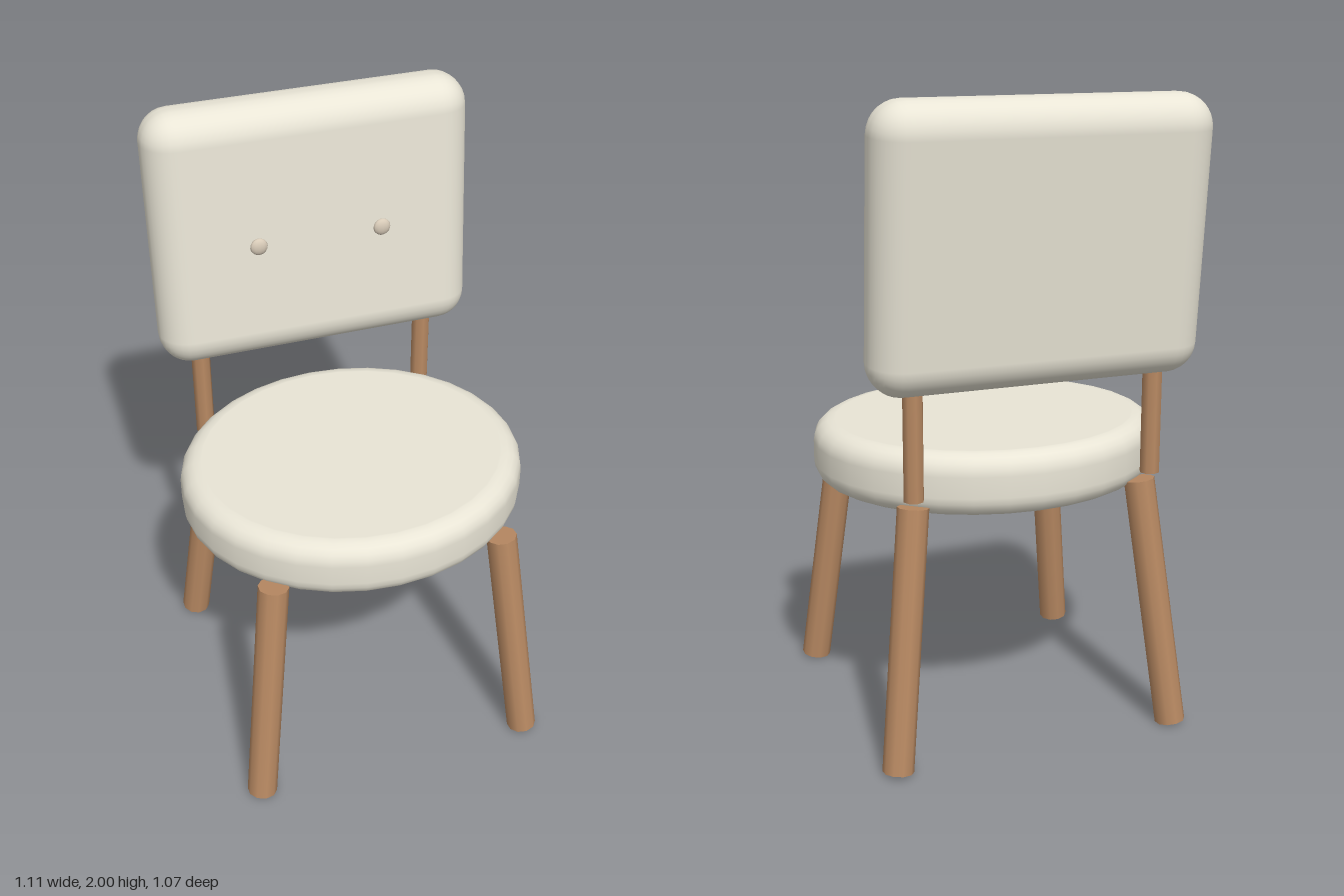
import * as THREE from 'three';
import { RoundedBoxGeometry } from 'three/addons/geometries/RoundedBoxGeometry.js';

const cushion = new THREE.MeshStandardMaterial({ color: 0xe9e5d6 });
const wood = new THREE.MeshStandardMaterial({ color: 0xb98a63 });
const buttonMat = new THREE.MeshStandardMaterial({ color: 0xd8cbb8 });

function add(parent, name, geometry, material, x = 0, y = 0, z = 0) {
  const mesh = new THREE.Mesh(geometry, material);
  mesh.name = name;
  mesh.position.set(x, y, z);
  parent.add(mesh);
  return mesh;
}

// Round rod whose axis runs between two points
function addRod(parent, name, from, to, radius, sides) {
  const axis = to.clone().sub(from);
  const mid = from.clone().add(to).multiplyScalar(0.5);
  const rod = add(parent, name, new THREE.CylinderGeometry(radius, radius, axis.length(), sides), wood, mid.x, mid.y, mid.z);
  rod.quaternion.setFromUnitVectors(new THREE.Vector3(0, 1, 0), axis.normalize());
}

// Disc with rounded rims, centred on the origin
function cushionDisc(radius, height, bevel) {
  const h = height / 2, inner = radius - bevel;
  const points = [new THREE.Vector2(0, -h), new THREE.Vector2(inner - 0.005, -h)];
  for (const side of [-1, 1]) {
    for (let i = 0; i <= 5; i++) {
      const a = (side < 0 ? i - 5 : i) / 5 * Math.PI / 2;
      points.push(new THREE.Vector2(inner + bevel * Math.cos(a), side * (h - bevel) + bevel * Math.sin(a)));
    }
  }
  points.push(new THREE.Vector2(inner - 0.005, h), new THREE.Vector2(0, h));
  return new THREE.LatheGeometry(points, 32);
}

export function createModel() {
  const chair = new THREE.Group();
  chair.name = 'chair';

  // Oval seat cushion
  const seat = add(chair, 'seat', cushionDisc(0.553, 0.195, 0.065), cushion, 0, 0.8725, 0.027);
  seat.scale.z = 0.49 / 0.553;

  // Backrest, leaning backwards
  const back = add(chair, 'backrest', new RoundedBoxGeometry(1.034, 0.84, 0.212, 4, 0.1), cushion, 0, 1.58, -0.405);
  back.rotation.x = -0.085;

  for (const [side, s] of [['left', 1], ['right', -1]]) {
    // Splayed legs
    for (const [end, top, foot] of [['Front', 0.401, 0.489], ['Back', -0.345, -0.433]]) {
      addRod(chair, `${side}${end}Leg`, new THREE.Vector3(s * 0.46, 0.011, foot), new THREE.Vector3(s * 0.372, 0.81, top), 0.048, 10);
    }
    // Upright post between seat and backrest
    addRod(chair, `${side}Post`, new THREE.Vector3(s * 0.384, 0.845, -0.388), new THREE.Vector3(s * 0.384, 1.3, -0.388), 0.031, 8);
    // Flattened button on the backrest
    const button = add(chair, `${side}Button`, new THREE.SphereGeometry(0.028, 12, 10), buttonMat, s * 0.2, 1.58, -0.277);
    button.scale.z = 0.5;
  }
  return chair;
}
